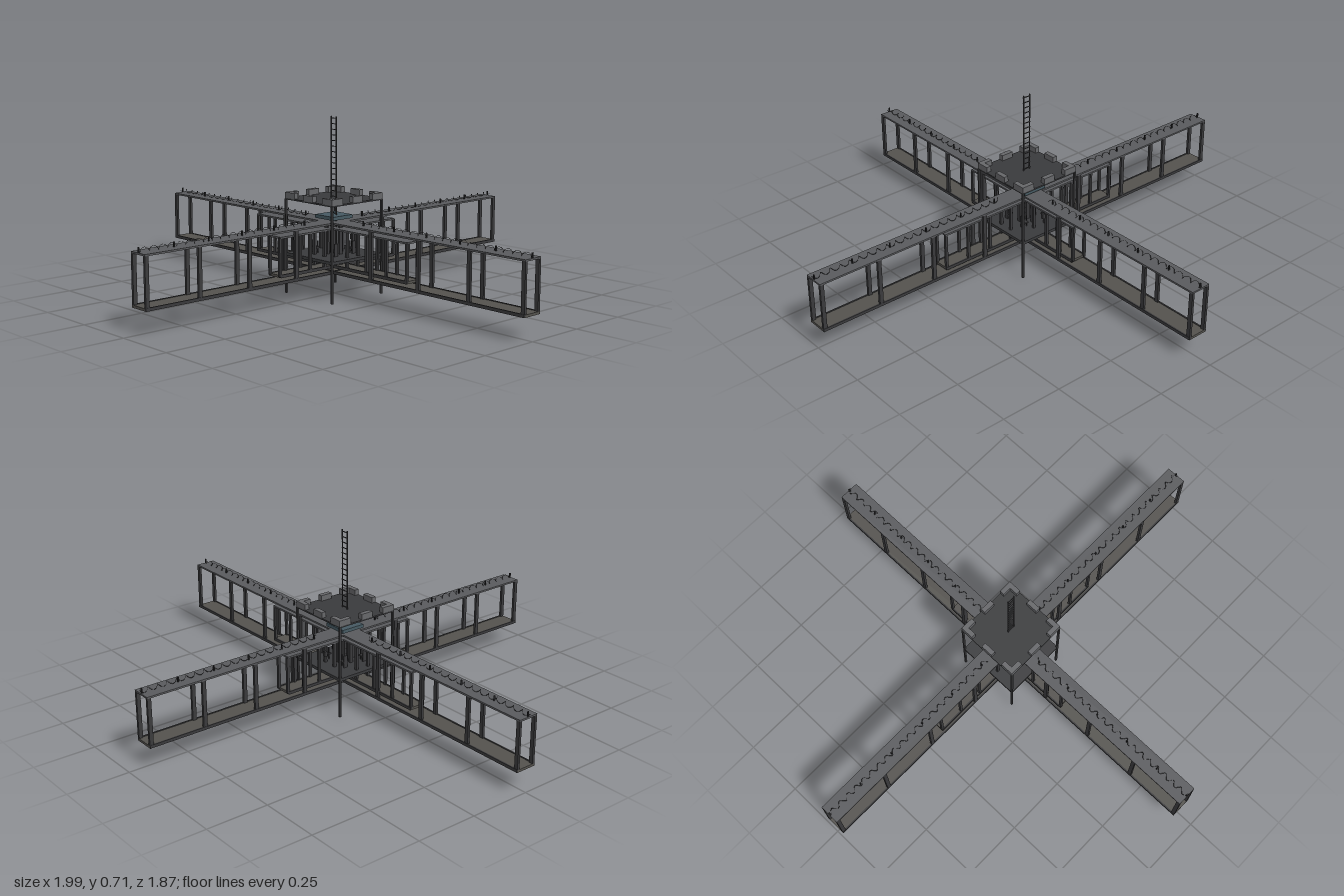
import * as THREE from 'three';

const mat = (color) => new THREE.MeshStandardMaterial({ color, flatShading: true });
const STEEL = mat(0x3a3a3c), ROOF = mat(0x5a5b5e), FLOOR = mat(0x54524e);
const DECK = mat(0x3a3b3d), BLOCK = mat(0x66676a), WIRE = mat(0x2c2c2e), TABLE = mat(0x465a63);

function box(parent, name, m, w, h, d, x, y, z) {
  const mesh = new THREE.Mesh(new THREE.BoxGeometry(w, h, d), m);
  mesh.name = name;
  mesh.position.set(x, y, z);
  parent.add(mesh);
  return mesh;
}

// Open corridor running along x: floor, roof, side beams and paired posts
function corridor(name, half, width, y0, y1, postXs, post) {
  const g = new THREE.Group();
  g.name = name;
  box(g, 'corridorFloor', FLOOR, half * 2, 0.01, width, 0, y0 + 0.005, 0);
  box(g, 'corridorRoof', ROOF, half * 2, 0.007, width, 0, y1 - 0.0035, 0);
  for (const s of [-1, 1]) {
    box(g, 'floorBeam', STEEL, half * 2, 0.012, 0.006, 0, y0 + 0.006, s * (width / 2 - 0.002));
    for (const x of postXs) for (const e of x === 0 ? [1] : [-1, 1])
      box(g, 'corridorPost', STEEL, post, y1 - y0 - 0.008, 0.01, e * x, (y0 + y1) / 2, s * (width / 2 - 0.005));
  }
  return g;
}

// Coiled wire with little stakes along a corridor roof
function roofWire(half, y) {
  const g = new THREE.Group();
  g.name = 'roofWire';
  for (const s of [-1, 1]) {
    const pts = [];
    const start = 0.14, turns = Math.round((half - start) / 0.04);
    for (let i = 0; i <= turns * 6; i++) {
      const a = (i / 6) * Math.PI * 2;
      pts.push(new THREE.Vector3(s * (start + (half - start) * i / (turns * 6)),
        y + 0.009 + Math.sin(a) * 0.008, Math.cos(a) * 0.009));
    }
    const coil = new THREE.Mesh(
      new THREE.TubeGeometry(new THREE.CatmullRomCurve3(pts), pts.length * 2, 0.0009, 4), WIRE);
    coil.name = 'wireCoil';
    g.add(coil);
    for (let x = half / 6; x < half + 0.01; x += half / 6)
      box(g, 'wireStake', WIRE, 0.004, 0.02, 0.006, s * Math.min(x, half - 0.004), y + 0.009, 0);
  }
  return g;
}

export function createModel() {
  const model = new THREE.Group();
  model.name = 'watchtowerCross';

  // Two long crossing corridors, each with a shorter one nested inside
  const arms = [
    { half: 0.995, inner: 0.432, step: 0.107, turn: 0 },
    { half: 0.932, inner: 0.306, step: 0.0765, turn: Math.PI / 2 },
  ];
  for (const { half, inner, step, turn } of arms) {
    const arm = new THREE.Group();
    arm.name = 'corridorArm';
    const xs = [0, 1, 2, 3, 4].map((i) => i * (half - 0.008) / 4);
    arm.add(corridor('outerCorridor', half, 0.084, 0.09, 0.293, xs, 0.016));
    arm.add(corridor('innerCorridor', inner, 0.068, 0.112, 0.27, [1, 2, 3, 4].map((i) => i * step), 0.011));
    arm.add(roofWire(half, 0.293));
    arm.rotation.y = turn;
    model.add(arm);
  }

  // Central tower: four slim legs, middle platform and top deck
  const tower = new THREE.Group();
  tower.name = 'tower';
  model.add(tower);
  for (const x of [-1, 1]) for (const z of [-1, 1])
    box(tower, 'towerLeg', STEEL, 0.008, 0.38, 0.008, x * 0.133, 0.19, z * 0.133);
  box(tower, 'middlePlatform', DECK, 0.27, 0.012, 0.27, 0, 0.158, 0);
  box(tower, 'topDeck', DECK, 0.272, 0.006, 0.272, 0, 0.38, 0);

  // Battlement blocks around the deck edge
  for (let side = 0; side < 4; side++) {
    const edge = new THREE.Group();
    edge.name = 'battlementSide';
    for (const x of [-0.108, 0, 0.108])
      box(edge, 'battlement', BLOCK, x ? 0.056 : 0.052, 0.024, 0.02, x, 0.394, 0.126);
    edge.rotation.y = side * Math.PI / 2;
    tower.add(edge);
  }

  // Table and furnishings above the middle platform
  box(tower, 'tableTop', TABLE, 0.104, 0.014, 0.104, 0, 0.311, 0);
  box(tower, 'tablePedestal', STEEL, 0.02, 0.15, 0.02, 0, 0.235, 0);
  for (const x of [-1, 1]) for (const z of [-1, 1]) {
    box(tower, 'stool', STEEL, 0.022, 0.006, 0.022, x * 0.052, 0.185, z * 0.048);
    box(tower, 'stoolBack', STEEL, 0.004, 0.05, 0.018, x * 0.063, 0.189, z * 0.048);
    box(tower, 'stoolLeg', STEEL, 0.004, 0.05, 0.004, x * 0.042, 0.187, z * 0.048);
  }
  box(tower, 'lamp', STEEL, 0.012, 0.02, 0.012, 0, 0.215, -0.1);

  // Ladder mast rising through the deck
  const ladder = new THREE.Group();
  ladder.name = 'ladder';
  for (const s of [-1, 1]) box(ladder, 'ladderRail', STEEL, 0.004, 0.6, 0.004, s * 0.015, 0.406, 0);
  for (let i = 0; i < 25; i++) box(ladder, 'ladderRung', STEEL, 0.036, 0.003, 0.003, 0, 0.17 + i * 0.022, 0);
  model.add(ladder);
  return model;
}
